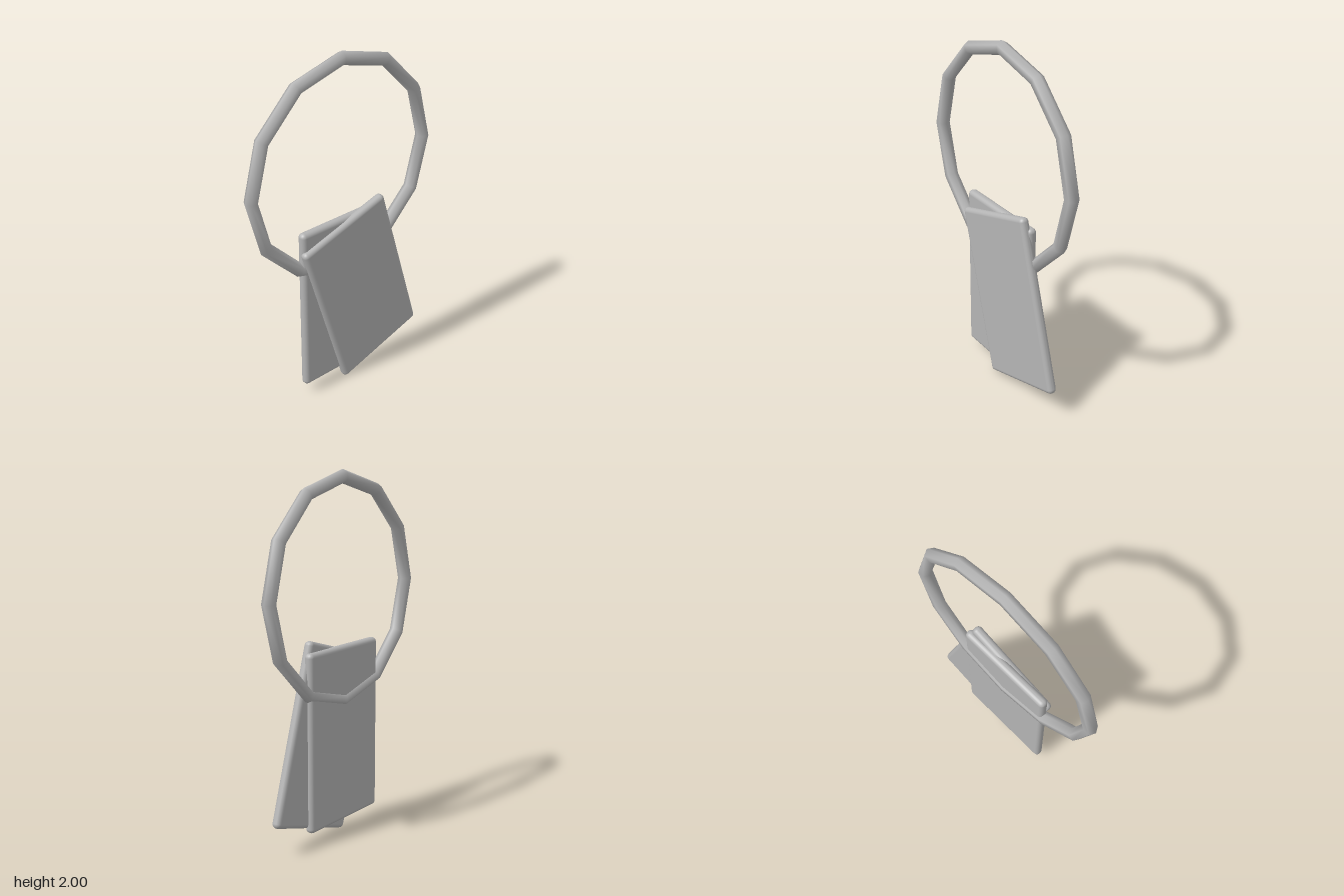
import * as THREE from 'three';
import { RoundedBoxGeometry } from 'three/addons/geometries/RoundedBoxGeometry.js';

export function createModel() {
  const model = new THREE.Group();
  model.name = 'taggedRing';
  const grey = new THREE.MeshStandardMaterial({ color: 0xb4b4b4 });
  grey.name = 'metal grey';

  // Twelve-sided ring with a hexagonal section
  const ring = new THREE.Mesh(new THREE.TorusGeometry(0.602, 0.038, 6, 12), grey);
  ring.name = 'ring';
  ring.position.set(0, 1.36, -0.0145);
  model.add(ring);

  // Two rounded tags, the front one swung sideways
  const tagGeometry = new RoundedBoxGeometry(0.6, 0.995, 0.055, 3, 0.025);
  function addTag(name, x, y, z, angle) {
    const tag = new THREE.Mesh(tagGeometry, grey);
    tag.name = name;
    tag.position.set(x, y, z);
    tag.rotation.z = angle;
    model.add(tag);
  }
  addTag('backTag', 0, 0.563, -0.01, 0);
  addTag('frontTag', 0.12, 0.56, 0.0175, THREE.MathUtils.degToRad(17));

  return model;
}
